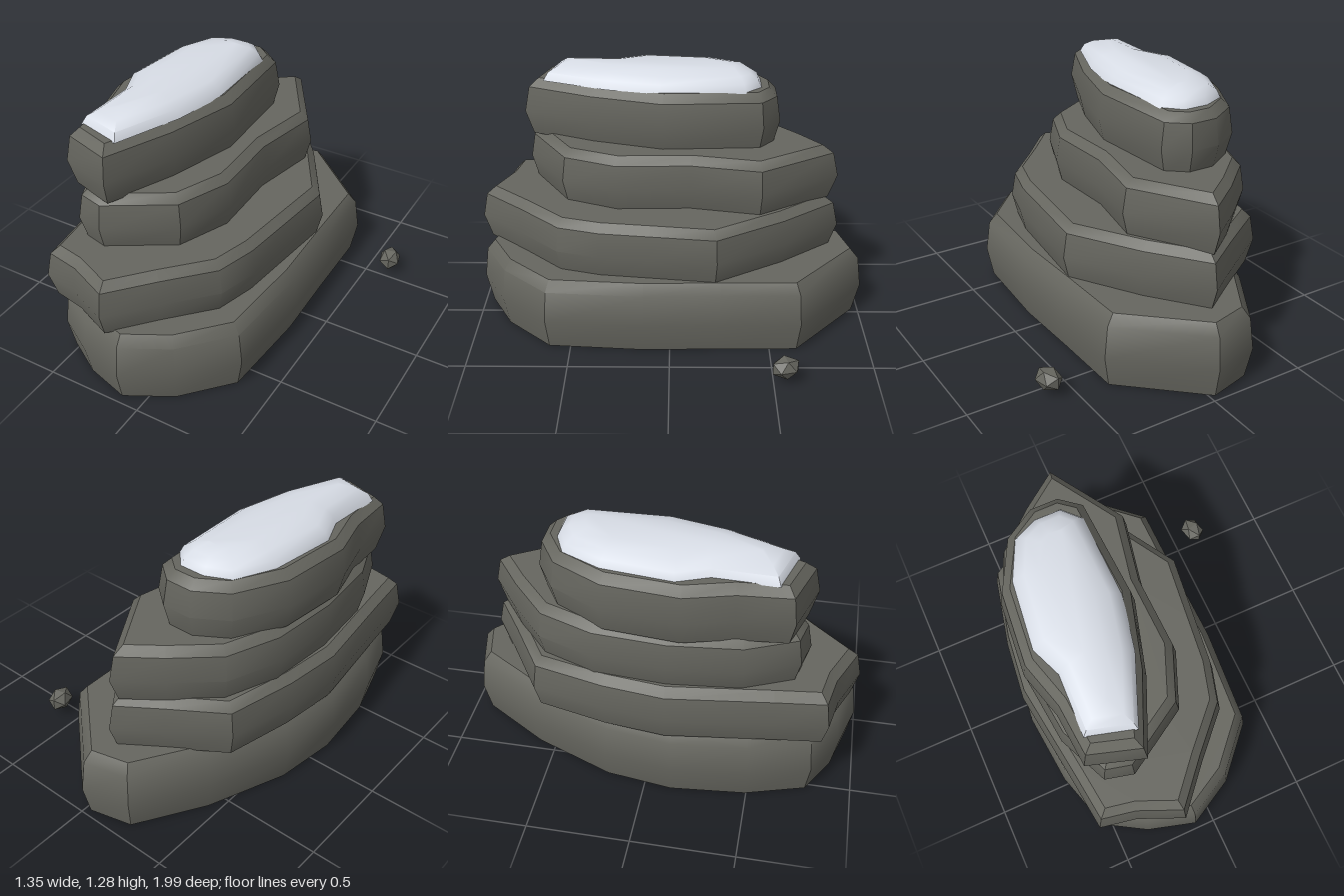
import * as THREE from 'three';
import { toCreasedNormals } from 'three/addons/utils/BufferGeometryUtils.js';

const rock = new THREE.MeshStandardMaterial({ color: 0x66665f, side: THREE.DoubleSide });
rock.name = 'rock';
const snow = new THREE.MeshStandardMaterial({ color: 0xd8dde6, side: THREE.DoubleSide });
snow.name = 'snow';

// Shrinks an [x, z] outline inward along its corner normals
function inset(outline, d) {
  const n = outline.length;
  return outline.map(([x, z], i) => {
    const [ax, az] = outline[(i + n - 1) % n];
    const [bx, bz] = outline[(i + 1) % n];
    const p = new THREE.Vector2(z - az, ax - x).normalize();
    const q = new THREE.Vector2(bz - z, x - bx).normalize();
    const m = p.clone().add(q).normalize();
    const k = d / Math.max(0.7, m.dot(p));
    return [x - m.x * k, z - m.y * k];
  });
}

// Lofts rings of [inset, y] over an outline, closed on top and open below
function loft(outline, rings, crease) {
  const n = outline.length;
  const positions = [];
  const index = [];
  let last;
  rings.forEach(([d, y], r) => {
    last = inset(outline, d);
    for (const [x, z] of last) positions.push(x, y, z);
    if (r === 0) return;
    for (let i = 0; i < n; i++) {
      const j = (i + 1) % n;
      const a = (r - 1) * n + i, b = (r - 1) * n + j;
      index.push(a, a + n, b, b, a + n, b + n);
    }
  });
  const base = (rings.length - 1) * n;
  const contour = last.map(([x, z]) => new THREE.Vector2(x, z));
  for (const [a, b, c] of THREE.ShapeUtils.triangulateShape(contour, [])) {
    index.push(base + a, base + c, base + b);
  }
  const g = new THREE.BufferGeometry();
  g.setAttribute('position', new THREE.Float32BufferAttribute(positions, 3));
  g.setIndex(index);
  return toCreasedNormals(g, crease);
}

// Outlines run back, right side, front, left side
const slabs = [
  { name: 'baseSlab', y0: 0, y1: 0.37, outline: [
    [-0.26, -0.94], [-0.02, -1], [0.37, -0.65], [0.375, -0.25], [0.385, 0.13], [0.35, 0.62],
    [0.13, 0.86], [-0.11, 0.99], [-0.35, 0.92], [-0.55, 0.8], [-0.64, 0.5],
    [-0.675, 0.13], [-0.63, -0.2], [-0.47, -0.6]] },
  { name: 'lowerSlab', y0: 0.36, y1: 0.645, outline: [
    [-0.09, -0.865], [0.13, -0.58], [0.34, -0.23], [0.3, 0.1], [0.27, 0.35], [0.21, 0.56],
    [0.01, 0.77], [-0.18, 0.985], [-0.4, 0.89], [-0.58, 0.855], [-0.61, 0.6],
    [-0.675, 0.1], [-0.64, -0.2], [-0.56, -0.55], [-0.3, -0.72]] },
  { name: 'middleSlab', y0: 0.635, y1: 0.92, outline: [
    [-0.1, -0.85], [0.15, -0.45], [0.08, -0.1], [0.09, 0.27], [-0.02, 0.54],
    [-0.34, 0.735], [-0.48, 0.7], [-0.59, 0.45], [-0.625, 0.1], [-0.6, -0.25],
    [-0.5, -0.52], [-0.3, -0.7]] },
  { name: 'upperSlab', y0: 0.905, y1: 1.2, outline: [
    [-0.31, -0.55], [-0.16, -0.55], [-0.05, -0.46], [-0.025, 0.04], [-0.13, 0.4],
    [-0.28, 0.745], [-0.55, 0.66], [-0.57, 0.4], [-0.635, 0.17], [-0.6, -0.2], [-0.47, -0.45]] },
];

const snowOutline = [
  [-0.31, -0.455], [-0.18, -0.455], [-0.1, -0.37], [-0.09, 0.05], [-0.15, 0.32],
  [-0.28, 0.645], [-0.51, 0.58], [-0.5, 0.28], [-0.56, 0.13], [-0.52, -0.21], [-0.43, -0.4]];

export function createModel() {
  const group = new THREE.Group();
  const add = (name, geometry, material) => {
    const mesh = new THREE.Mesh(geometry, material);
    mesh.name = name;
    group.add(mesh);
    return mesh;
  };

  // Stacked stone slabs with bulging sides and bevelled rims
  for (const { name, y0, y1, outline } of slabs) {
    const h = y1 - y0;
    const rings = [[0.03, y0], [0, y0 + h * 0.43], [0.02, y0 + h * 0.86], [0.06, y1]];
    add(name, loft(outline, rings, 0.6), rock);
  }

  // Low snow dome on the top slab
  const snowRings = [[0, 1.195], [0.02, 1.235], [0.06, 1.262], [0.13, 1.283]];
  add('snowCap', loft(snowOutline, snowRings, 0.9), snow);

  // Loose pebbles: one beside the stack, one under the hollow base
  for (const [name, x, y, z, r] of [
    ['pebble', 0.612, 0.085, -0.555, 0.06],
    ['innerPebble', -0.16, 0.09, -0.09, 0.088],
  ]) {
    const stone = add(name, new THREE.IcosahedronGeometry(r, 0), rock);
    stone.position.set(x, y, z);
    stone.scale.set(0.98, 0.95, 1.25);
    stone.rotation.y = 0.25;
  }
  return group;
}
